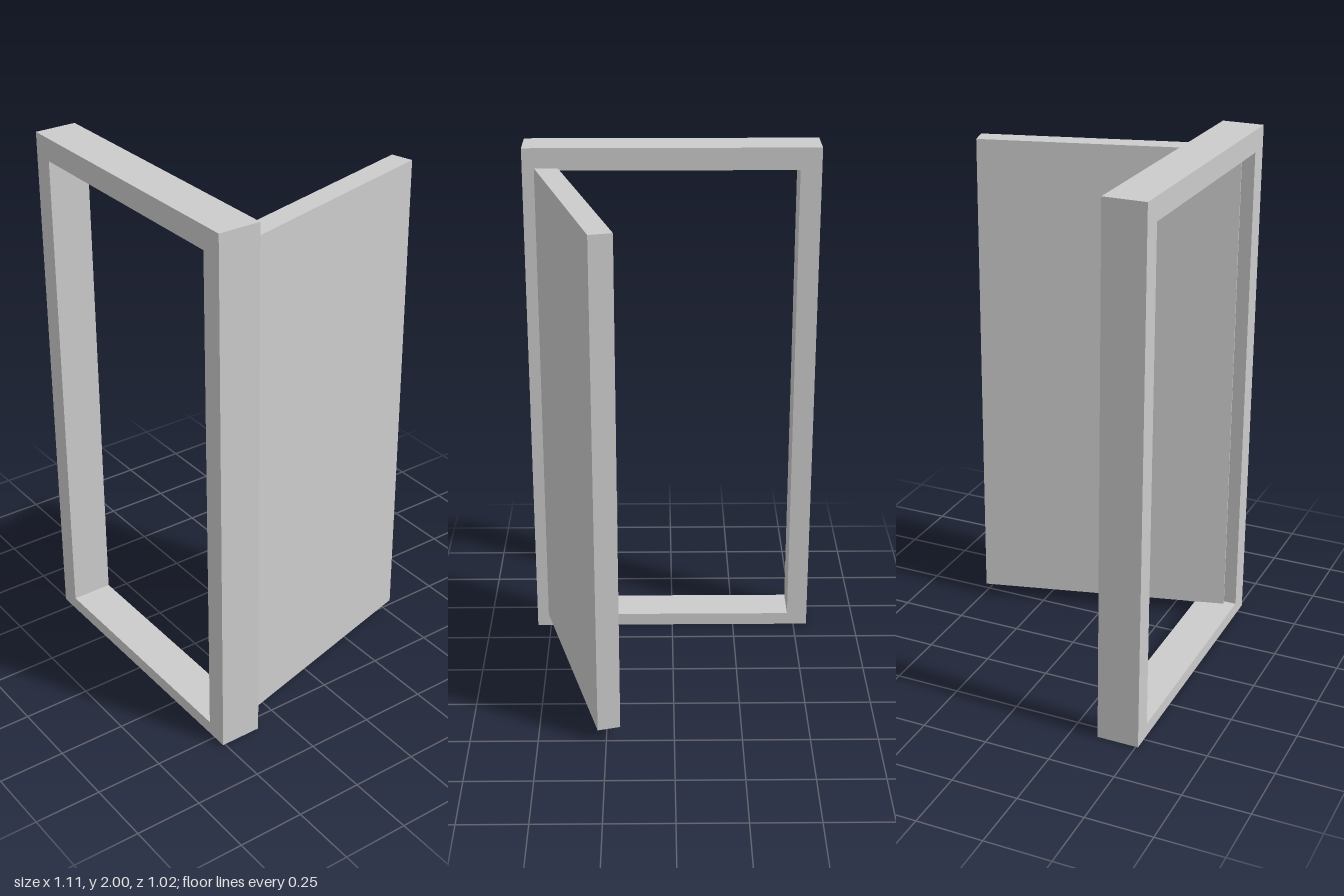
import * as THREE from 'three';

export function createModel() {
  const model = new THREE.Group();
  const material = new THREE.MeshStandardMaterial({ color: 0xcccccc, flatShading: true });

  const rect = (Type, x0, y0, x1, y1) => {
    const path = new Type();
    path.moveTo(x0, y0);
    path.lineTo(x1, y0);
    path.lineTo(x1, y1);
    path.lineTo(x0, y1);
    path.closePath();
    return path;
  };

  // Door frame: a rectangle with its opening cut through, thin sill at the bottom
  const outline = rect(THREE.Shape, -0.554, 0, 0.554, 2);
  outline.holes.push(rect(THREE.Path, -0.474, 0.05, 0.471, 1.916));
  const frame = new THREE.Mesh(
    new THREE.ExtrudeGeometry(outline, { depth: 0.157, bevelEnabled: false }),
    material
  );
  frame.name = 'doorFrame';
  frame.position.z = 0.351;
  model.add(frame);

  // Door leaf, swung open to the back, its hinge edge set into the jamb
  const door = new THREE.Mesh(new THREE.BoxGeometry(0.085, 1.875, 0.983), material);
  door.name = 'doorLeaf';
  door.position.set(0.366, 0.9875, -0.022);
  door.rotation.y = 0.26;
  model.add(door);

  return model;
}
